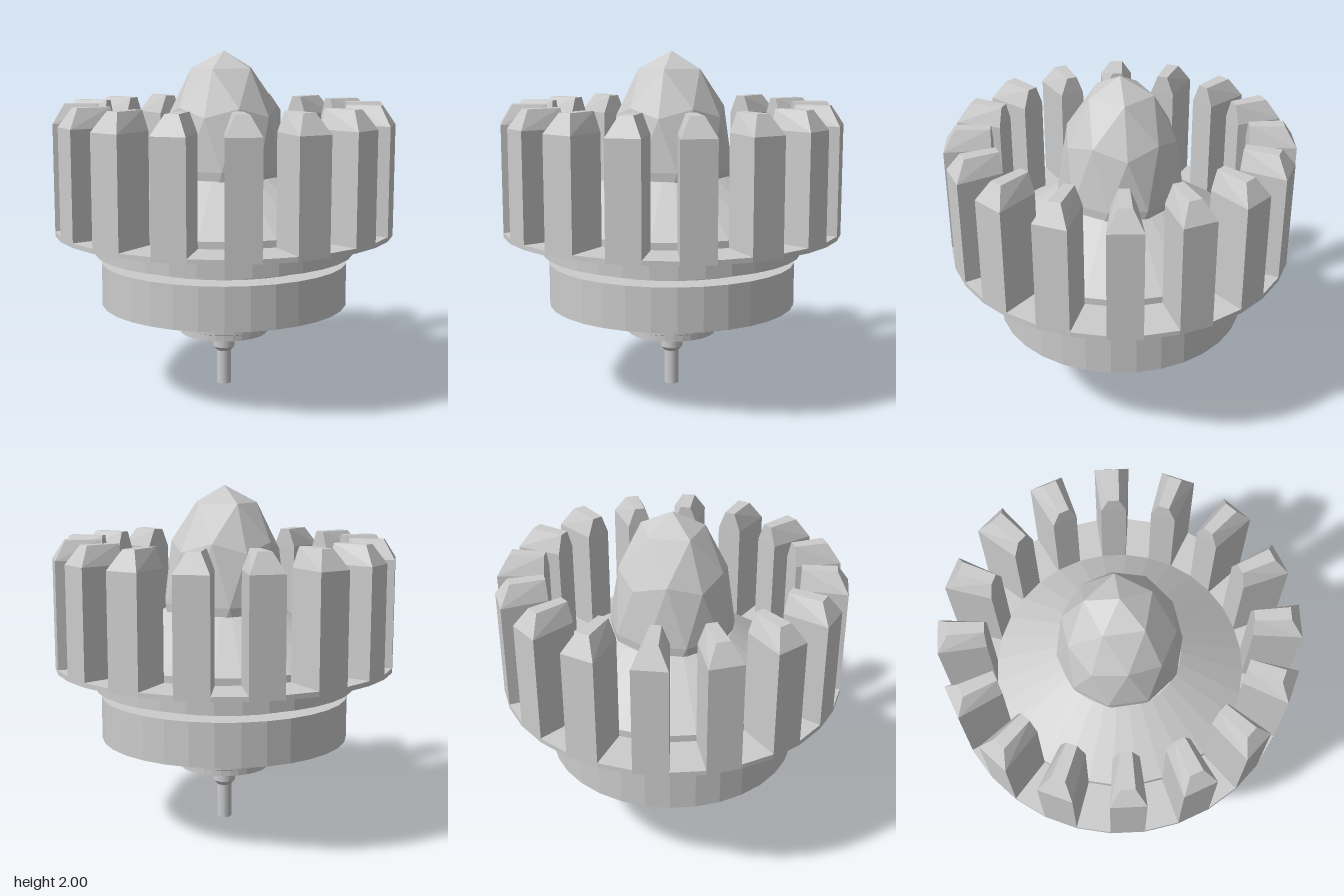
import * as THREE from 'three';
import { ConvexGeometry } from 'three/addons/geometries/ConvexGeometry.js';

const SIDES = 32;
const TEETH = 16;
const material = new THREE.MeshStandardMaterial({ color: 0xcccccc, flatShading: true });

function addMesh(parent, name, geometry) {
  const mesh = new THREE.Mesh(geometry, material);
  mesh.name = name;
  parent.add(mesh);
  return mesh;
}

// Turned part from [radius, height] pairs, listed bottom to top
function turned(profile) {
  return new THREE.LatheGeometry(profile.map(([r, y]) => new THREE.Vector2(r, y)), SIDES);
}

// One crown tooth: a wedge of the rim, bevelled at its sides and outer end
function toothGeometry() {
  const step = (Math.PI * 2) / SIDES;
  const inner = 0.727, outer = 0.995;
  const at = (r, t, y) => {
    const a = -step + t * step;
    return new THREE.Vector3(r * Math.sin(a), y, r * Math.cos(a));
  };
  const points = [];
  for (const y of [0.96, 1.59]) {
    for (const r of [inner, outer]) points.push(at(r, 0, y), at(r, 1, y));
  }
  for (const r of [inner, 0.925]) points.push(at(r, 0.29, 1.7), at(r, 0.71, 1.7));
  return new ConvexGeometry(points);
}

export function createModel() {
  const model = new THREE.Group();
  model.name = 'crownedKnob';

  // Thin pin with a thicker collar
  addMesh(model, 'pin', turned([
    [0, 0], [0.043, 0], [0.043, 0.205], [0.065, 0.23], [0.065, 0.33],
  ]));

  // Stepped hub and lower drum
  addMesh(model, 'drum', turned([
    [0, 0.312], [0.065, 0.313], [0.262, 0.328], [0.262, 0.362], [0.28, 0.37],
    [0.3, 0.375], [0.3, 0.452], [0.73, 0.515], [0.73, 0.768], [0.58, 0.768],
  ]));

  // Groove, upper collar, toothed rim and the cone inside it
  addMesh(model, 'rim', turned([
    [0.58, 0.768], [0.58, 0.82], [0.765, 0.82], [0.765, 0.93], [0.995, 0.943],
    [0.995, 0.97], [0.727, 0.97], [0.727, 1.01], [0.35, 1.28], [0, 1.28],
  ]));

  // Ring of teeth on every other side of the rim
  const teeth = new THREE.Group();
  teeth.name = 'teeth';
  model.add(teeth);
  const tooth = toothGeometry();
  for (let i = 0; i < TEETH; i++) {
    addMesh(teeth, 'tooth', tooth).rotation.y = (i * Math.PI * 2) / TEETH;
  }

  // Faceted egg, one icosahedron corner pointing up
  const egg = new THREE.IcosahedronGeometry(1, 1);
  egg.rotateZ(-Math.atan(2 / (1 + Math.sqrt(5))));
  egg.scale(0.362, 0.67, 0.362);
  egg.translate(0, 1.33, 0);
  addMesh(model, 'egg', egg);

  return model;
}
